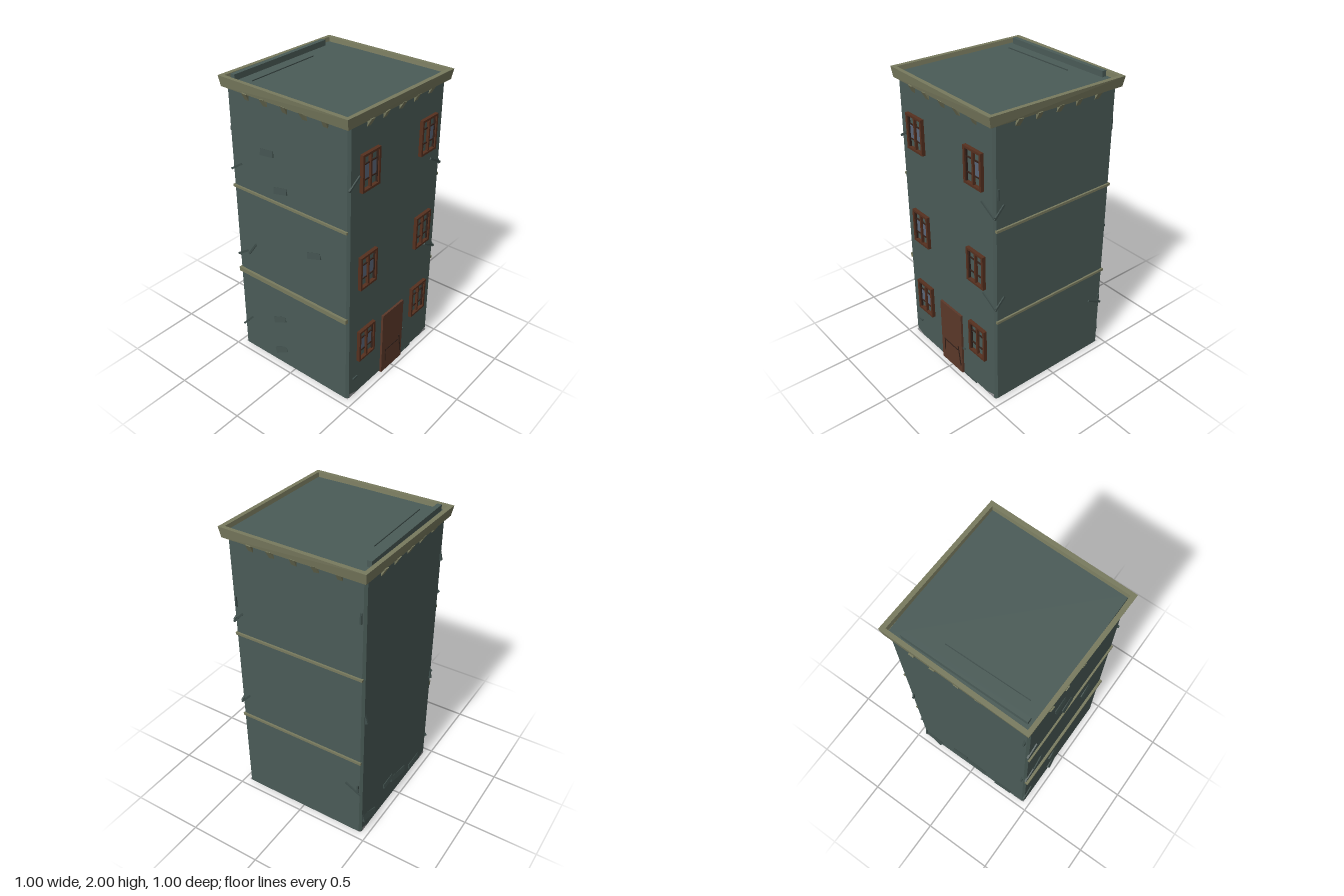
import * as THREE from 'three';

const mat = (name, color, side = THREE.FrontSide) => {
  const m = new THREE.MeshStandardMaterial({ color, flatShading: true, side });
  m.name = name;
  return m;
};

// Joins rings of [x, y, z] points (counter-clockwise seen from above)
function loft(rings) {
  const pos = [];
  for (let i = 0; i + 1 < rings.length; i++) {
    const n = rings[i].length;
    for (let j = 0; j < n; j++) {
      const k = (j + 1) % n;
      const [a, b, c, d] = [rings[i][j], rings[i][k], rings[i + 1][k], rings[i + 1][j]];
      pos.push(...a, ...b, ...c, ...a, ...c, ...d);
    }
  }
  const g = new THREE.BufferGeometry();
  g.setAttribute('position', new THREE.Float32BufferAttribute(pos, 3));
  g.computeVertexNormals();
  return g;
}

export function createModel() {
  const model = new THREE.Group();
  model.name = 'tower';
  const wall = mat('tealPlaster', 0x4a5b57, THREE.DoubleSide);
  const chip = mat('darkPlaster', 0x3f4e4b);
  const trim = mat('oliveStone', 0x787a5e, THREE.DoubleSide);
  const wood = mat('brownWood', 0x5b3829);
  const frameWood = mat('frameWood', 0x56301f);
  const darkWood = mat('darkWood', 0x33211a);
  const glass = mat('blueGlass', 0x5a6678);
  const stone = mat('paleStone', 0x98989a, THREE.DoubleSide);

  const add = (parent, name, geo, material, x = 0, y = 0, z = 0) => {
    const m = new THREE.Mesh(geo, material);
    m.name = name;
    m.position.set(x, y, z);
    parent.add(m);
    return m;
  };
  const box = (parent, name, material, w, h, d, x, y, z) =>
    add(parent, name, new THREE.BoxGeometry(w, h, d), material, x, y, z);
  const group = name => {
    const g = new THREE.Group();
    g.name = name;
    model.add(g);
    return g;
  };

  // Hollow shaft with bevelled corners, open underneath
  const W = 0.457, B = 0.015;
  const octagon = y => [
    [-W + B, y, W], [W - B, y, W], [W, y, W - B], [W, y, -W + B],
    [W - B, y, -W], [-W + B, y, -W], [-W, y, -W + B], [-W, y, W - B]];
  add(model, 'walls', loft([octagon(0.012), octagon(1.95)]), wall);
  box(model, 'roof', wall, 0.92, 0.02, 0.94, 0, 1.95, 0);
  box(model, 'roofPlank', wall, 0.81, 0.04, 0.03, -0.025, 1.978, -0.425);
  box(model, 'roofSplinter', chip, 0.54, 0.008, 0.004, -0.1, 1.962, -0.33).rotation.y = 0.01;

  // Slightly twisted, flaring cornice
  const ring = (s, y, t) => [
    [-s - t, y, s - t], [s - t, y, s + t], [s + t, y, -s + t], [-s + t, y, -s - t]];
  add(model, 'cornice', loft([
    ring(0.455, 1.925, 0), ring(0.478, 1.922, 0.008), ring(0.488, 1.988, 0.011),
    ring(0.46, 1.988, 0.009), ring(0.455, 1.955, 0.009)]), trim);

  // Wedge brackets under the cornice, five on each side
  const wedge = new THREE.ExtrudeGeometry(
    new THREE.Shape([[0, 0.05], [0, 0], [0.028, 0.05]].map(p => new THREE.Vector2(...p))),
    { depth: 0.034, bevelEnabled: false });
  wedge.translate(0, 0, -0.017).rotateY(-Math.PI / 2);

  // One group per wall: front, right, back, left, each turned to its side
  const faces = ['front', 'right', 'back', 'left'].map((n, side) => {
    const g = group(n + 'WallDetails');
    g.rotation.y = side * Math.PI / 2;
    for (let i = 0; i < 5; i++) {
      const b = add(g, 'bracket', wedge, trim, (i - 2) * 0.147, 1.878, W - 0.001);
      b.rotation.z = (i % 2 ? 1 : -1) * 0.1;
    }
    return g;
  });

  // Floor bands on the two sides
  for (const y of [1.28, 0.635]) {
    const low = y < 1;
    box(model, 'rightBand', trim, 0.016, 0.016, 0.9, W + 0.004, y, 0);
    box(model, 'leftBand', trim, low ? 0.024 : 0.014, low ? 0.03 : 0.016, 0.9,
      -W - 0.005, low ? y + 0.014 : y, 0);
  }

  // Windows: frame, mullion, two muntins and a partial pane
  const buildWindow = (x, y, pane) => {
    const g = group('window');
    g.position.set(x, y, W);
    for (const s of [-1, 1]) {
      box(g, 'frameSide', frameWood, 0.015, 0.234, 0.024, s * 0.073, 0, 0.011);
      box(g, 'frameRail', frameWood, 0.16, 0.014, 0.024, 0, s * 0.11, 0.011);
      box(g, 'muntin', darkWood, 0.13, 0.007, 0.008, 0, s * 0.048, 0.006);
      box(g, 'innerEdge', darkWood, 0.004, 0.206, 0.012, s * 0.064, 0, 0.008);
    }
    box(g, 'mullion', frameWood, 0.013, 0.21, 0.018, 0, 0, 0.01);
    if (pane === 'full') box(g, 'pane', glass, 0.13, 0.096, 0.004, 0, 0, 0.003);
    if (pane === 'half') box(g, 'pane', glass, 0.06, 0.096, 0.004, 0.034, 0, 0.003);
  };
  for (const y of [1.62, 0.953, 0.397]) {
    buildWindow(-0.285, y, 'full');
    buildWindow(0.288, y, y > 1.5 ? 'half' : 'none');
  }

  // Door with broken lower panel
  const crack = (parent, name, material, x1, y1, x2, y2, z, t = 0.007, d = 0.006) => {
    const m = box(parent, name, material, Math.hypot(x2 - x1, y2 - y1), t, d,
      (x1 + x2) / 2, (y1 + y2) / 2, z);
    m.rotation.z = Math.atan2(y2 - y1, x2 - x1);
  };
  const door = group('door'), dz = W + 0.016;
  box(door, 'doorLeaf', wood, 0.226, 0.478, 0.03, 0.003, 0.243, W);
  crack(door, 'doorCrack', darkWood, -0.078, 0.18, 0.07, 0.178, dz);
  crack(door, 'doorCrack', darkWood, -0.073, 0.085, -0.073, 0.18, dz, 0.005);
  crack(door, 'doorCrack', darkWood, 0.078, 0.21, 0.102, 0.06, dz);

  // Diagonal splinters near the corners: wall, then end points
  const splinter = (f, ...ends) =>
    crack(faces[f], 'splinter', chip, ...ends, W + 0.002, 0.013, 0.012);
  for (const y of [1.37, 0.74]) {
    splinter(0, 0.345, y + 0.065, 0.46, y);
    splinter(1, -0.46, y - 0.01, -0.39, y + 0.065);
    splinter(3, -0.46, y + 0.02, -0.37, y + 0.08);
  }
  splinter(0, -0.37, 1.61, -0.46, 1.55);
  splinter(1, 0.34, 0.42, 0.455, 0.36);
  splinter(3, -0.46, 0.17, -0.37, 0.27);
  splinter(3, -0.36, 0.8, -0.29, 0.9);

  // Loose slabs poking out of the walls
  const slab = (f, x, y, w, h, turn = 0) => {
    const m = box(faces[f], 'looseSlab', chip, w, h, 0.022, x, y, W - 0.002);
    m.rotation.set(f > 1 ? -0.25 : 0, 0, turn);
  };
  slab(0, -0.385, 0.15, 0.04, 0.012);
  slab(0, 0.13, 0.22, 0.025, 0.01, 0.3);
  slab(2, -0.36, 0.1, 0.15, 0.045, -0.35);
  slab(2, -0.11, 0.19, 0.12, 0.03, 0.05);
  slab(2, 0.03, 0.14, 0.18, 0.04, -0.2);
  slab(2, 0.27, 0.07, 0.14, 0.035, 0.05);
  [1.59, 1.37, 1.02, 0.38, 0.12].forEach((y, i) =>
    slab(3, 0.2 * Math.sin(i * 2 + 4), y, 0.1, 0.04, 0.1 + 0.1 * i));
  [1.67, 0.98, 0.76, 0.13].forEach((y, i) => slab(2, i % 2 ? -0.43 : 0.43, y, 0.012, 0.07));
  [1.69, 1.51, 0.4].forEach((y, i) => slab(1, i % 2 ? -0.43 : 0.43, y, 0.012, 0.07));

  // Rubble piled inside the left wall
  const rubble = group('rubble');
  for (let i = 0; i < 9; i++) {
    const m = box(rubble, 'rubbleSlab', wall, 0.1, 0.03, 0.09,
      -0.36 + 0.03 * Math.sin(i * 2.3), 0.09 + 0.03 * (i % 3), -0.36 + i * 0.085);
    m.rotation.set(i * 1.1, i * 0.7, 0.5 + i * 0.9);
  }

  // Broken pale footing: an open ring under the walls and exposed corners
  const P = (x, y) => new THREE.Vector2(x, y);
  const footing = new THREE.Shape([P(-W, -W), P(W, -W), P(W, W), P(-W, W)]);
  footing.holes.push(new THREE.Path([
    P(-0.43, -0.34), P(-0.42, 0.36), P(-0.34, 0.44), P(0.33, 0.43), P(0.42, 0.34),
    P(0.43, -0.33), P(0.35, -0.42), P(-0.33, -0.43)]));
  add(model, 'footing', new THREE.ShapeGeometry(footing).rotateX(-Math.PI / 2), stone, 0, 0.012, 0);
  const corner = new THREE.ShapeGeometry(new THREE.Shape([P(0, 0), P(0.09, 0), P(0.005, 0.03)]));
  for (const f of [0, 2]) {
    for (const s of [-1, 1]) {
      add(faces[f], 'exposedFooting', corner, stone, s * (W - B), 0.012, W + 0.002).scale.x = -s;
    }
  }
  box(model, 'threshold', chip, 0.3, 0.012, 0.02, 0.1, 0.006, W - 0.008);
  return model;
}
